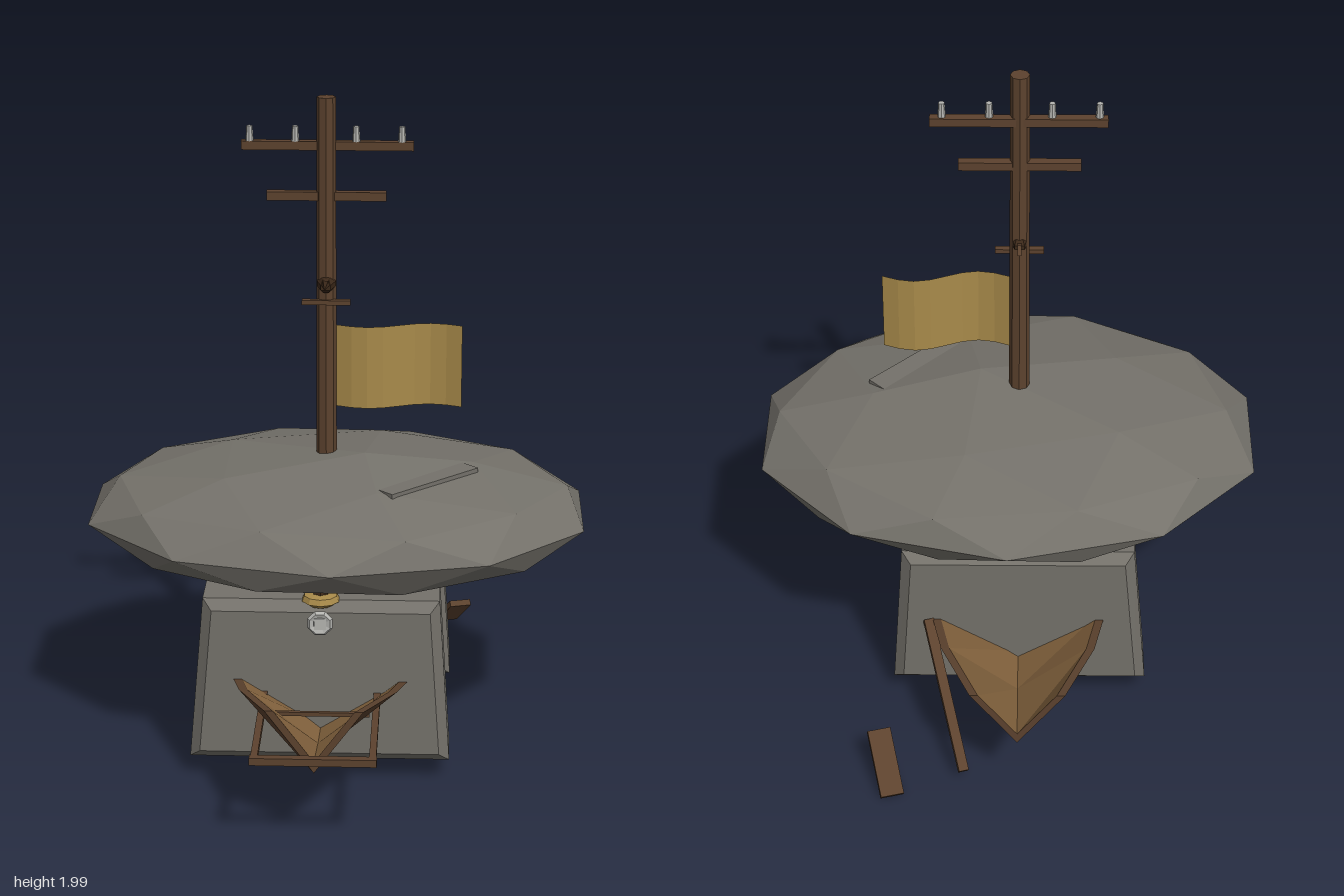
import * as THREE from 'three';

const mat = (name, color, flat = true, side = THREE.FrontSide) =>
  Object.assign(new THREE.MeshStandardMaterial({ color, flatShading: flat, side }), { name });

export function createModel() {
  const root = new THREE.Group();
  root.name = 'stoneShrine';
  const M = {
    stone: mat('stone', 0x74716a),
    wood: mat('wood', 0x5c422e),
    dark: mat('darkWood', 0x3b2819, true, THREE.DoubleSide),
    plank: mat('planking', 0x86653f, true, THREE.DoubleSide),
    gold: mat('ochre', 0xa88a4a, true, THREE.DoubleSide),
    clay: mat('clay', 0x6a4a33, false, THREE.DoubleSide),
    pale: mat('porcelain', 0xb4b4b0),
  };
  const CX = -0.033;

  const add = (name, geo, m, x = 0, y = 0, z = 0, parent = root) => {
    const mesh = new THREE.Mesh(geo, m);
    mesh.name = name;
    mesh.position.set(x, y, z);
    parent.add(mesh);
    return mesh;
  };
  const box = (name, m, w, h, d, x, y, z, parent) =>
    add(name, new THREE.BoxGeometry(w, h, d), m, x, y, z, parent);
  // Bar running from a to b
  const bar = (name, m, w, h, a, b) => {
    const p = new THREE.Vector3(...a), q = new THREE.Vector3(...b);
    const mesh = box(name, m, w, h, p.distanceTo(q), 0, 0, 0);
    mesh.position.copy(p).add(q).multiplyScalar(0.5);
    mesh.lookAt(q);
    return mesh;
  };
  const lathe = (pts, seg) => new THREE.LatheGeometry(pts.map(p => new THREE.Vector2(...p)), seg);
  const surface = (points, index) => {
    const g = new THREE.BufferGeometry();
    g.setAttribute('position', new THREE.Float32BufferAttribute(points.flat(), 3));
    g.setIndex(index);
    g.computeVertexNormals();
    return g;
  };

  // Faceted capstone with its crown pushed off centre
  const cap = new THREE.IcosahedronGeometry(1, 1);
  cap.rotateX(-Math.atan((1 + Math.sqrt(5)) / 2));
  // Turn so that one vertex of the upper ring lies on +x
  const pos = cap.attributes.position;
  let upperOnFront = false;
  for (let i = 0; i < pos.count; i++)
    if (Math.abs(pos.getX(i)) < 0.01 && pos.getZ(i) > 0.88 && pos.getY(i) > 0.4) upperOnFront = true;
  cap.rotateY(upperOnFront ? Math.PI / 2 : -Math.PI / 2);
  cap.scale(0.785, 0.18, 0.6);
  for (let i = 0; i < pos.count; i++)
    if (pos.getY(i) > 0.178) pos.setXYZ(i, 0.085, 0.2, 0.065);
  cap.computeVertexNormals();
  add('capstone', cap, M.stone, 0, 0.72, -0.025);
  const slab = box('capstoneSlab', M.stone, 0.36, 0.04, 0.3, 0.195, 0.856, 0.06);
  slab.rotation.y = Math.PI / 4;

  // Tapered, chamfered end blocks with a passage between them
  const b = 0.03;
  const outline = new THREE.Shape([[-0.395, 0.1], [0.32, 0.1], [0.29, 0.55], [-0.355, 0.55]]
    .map(p => new THREE.Vector2(...p)));
  for (const [name, z] of [['frontBlock', 0.21], ['backBlock', -0.45]])
    add(name, new THREE.ExtrudeGeometry(outline, {
      depth: 0.15, bevelEnabled: true, bevelThickness: b, bevelSize: b, bevelSegments: 1,
    }), M.stone, 0, 0, z + b);
  box('floorSlab', M.stone, 0.73, 0.06, 0.5, CX, 0.1, -0.02);

  // Scattered stains under the floor
  for (let i = 0; i < 16; i++) {
    const a = i * 2.4, r = 0.055 * Math.sqrt(i);
    const d = add('underStain', new THREE.CylinderGeometry(0.03 + 0.008 * (i % 3), 0.03, 0.01, 5 + i % 3),
      M.dark, CX + r * Math.cos(a), 0.066, -0.02 + r * Math.sin(a));
    d.rotation.y = a;
  }

  // Inner hut
  add('hut', lathe([[0.215, 0.12], [0.22, 0.43], [0.23, 0.44], [0.23, 0.46], [0.19, 0.47], [0.12, 0.6]], 12),
    M.gold, CX, 0, -0.015);
  for (const z of [-0.03, -0.23]) box('hutPost', M.wood, 0.03, 0.09, 0.03, 0.15, 0.54, z);

  // Arches and pots at both openings
  const arch = new THREE.Shape();
  arch.absarc(0, 0, 0.19, 0, Math.PI, false);
  arch.lineTo(-0.19, -0.12);
  arch.lineTo(-0.15, -0.12);
  arch.lineTo(-0.15, 0);
  arch.absarc(0, 0, 0.15, Math.PI, 0, true);
  arch.lineTo(0.15, -0.12);
  arch.lineTo(0.19, -0.12);
  const archGeo = new THREE.ExtrudeGeometry(arch, { depth: 0.1, bevelEnabled: false, curveSegments: 8 });
  archGeo.rotateY(Math.PI / 2);
  const potGeo = lathe([[0, 0], [0.075, 0], [0.105, 0.05], [0.115, 0.1], [0.1, 0.16], [0.075, 0.195],
    [0.085, 0.22], [0.07, 0.225], [0.06, 0.19], [0, 0.17]], 20);
  for (const [ax, px, z] of [[0.12, 0.2, -0.115], [-0.3, -0.25, -0.06]]) {
    add('doorArch', archGeo, M.plank, ax, 0.25, z + 0.025);
    add('pot', potGeo, M.clay, px, 0.13, z);
  }

  // Split hull: one open half on the front, the other turned half way round
  const sections = [[0.4, 0.265, 0.325, 0.14], [0.6, 0.23, 0.37, 0.17], [0.85, 0.14, 0.415, 0.225]];
  const loops = sections.map(([z, w, top, keel]) => [[-w, top, z], [0, keel, z], [w, top, z],
    [w - 0.025, top, z], [0, keel + 0.035, z], [0.025 - w, top, z]]);
  const strip = edges => edges.flatMap(j => [0, 6].flatMap(o => {
    const k = (j + 1) % 6;
    return [o + j, o + k, o + k + 6, o + j, o + k + 6, o + j + 6];
  }));
  const shell = surface(loops.flat(), [...strip([0, 1, 2, 5]),
    12, 13, 16, 12, 16, 17, 13, 14, 15, 13, 15, 16]);
  const lining = surface(loops.flat(), strip([3, 4]));
  // Thin quad lying on one side of the hull
  const patch = (j, k, lift) => surface([[0.4, 0.35], [0.7, 0.35], [0.7, 0.65], [0.4, 0.65]].map(([s, t]) =>
    [0, 1, 2].map(c => {
      const at = i => loops[i][j][c] * (1 - t) + loops[i][k][c] * t;
      return at(1) * (1 - s) + at(2) * s + [-lift, -lift, 0][c];
    })), [0, 1, 2, 0, 2, 3]);
  for (const [name, turn] of [['frontHull', 0], ['backHull', Math.PI]]) {
    const hull = new THREE.Group();
    hull.name = name;
    hull.position.set(CX, 0, -0.02);
    hull.rotation.y = turn;
    root.add(hull);
    add('hullShell', shell, M.wood, 0, 0, 0, hull);
    add('hullLining', lining, M.plank, 0, 0, 0, hull);
    add('hullPatchOuter', patch(0, 1, 0.004), M.plank, 0, 0, 0, hull);
    add('hullPatchInner', patch(5, 4, -0.004), M.dark, 0, 0, 0, hull);
  }

  // Shafts with a crossbar at the front
  for (const x of [-0.2, 0.135]) box('shaft', M.wood, 0.02, 0.02, 0.47, x, 0.287, 0.655);
  box('shaftCrossbar', M.wood, 0.36, 0.022, 0.025, CX, 0.287, 0.883);
  box('shaftTie', M.wood, 0.3, 0.012, 0.012, CX, 0.3, 0.585);

  // Leaning pole and loose board at the back
  bar('leaningPole', M.wood, 0.03, 0.02, [0.24, 0.33, -0.45], [0.128, 0.045, -0.81]);
  bar('looseBoard', M.wood, 0.07, 0.02, [0.385, 0.132, -0.725], [0.34, 0.015, -0.885]);

  // Mast with cross-arms and insulators
  add('mast', new THREE.CylinderGeometry(0.028, 0.031, 1.15, 8), M.wood, CX, 1.425, -0.015);
  box('upperArm', M.wood, 0.51, 0.026, 0.028, -0.03, 1.853, -0.025);
  box('lowerArm', M.wood, 0.355, 0.026, 0.028, CX, 1.702, -0.02);
  for (const x of [-0.26, -0.125, 0.055, 0.19])
    add('insulator', new THREE.CylinderGeometry(0.009, 0.012, 0.046, 8), M.pale, x, 1.888, -0.022);
  box('perch', M.wood, 0.145, 0.014, 0.02, CX, 1.383, 0.01);

  // Carved bird
  const body = add('birdBody', new THREE.SphereGeometry(1, 6, 5), M.dark, CX, 1.437, -0.005);
  body.scale.set(0.03, 0.025, 0.065);
  const beak = add('birdBeak', new THREE.ConeGeometry(0.013, 0.075, 5), M.dark, CX, 1.448, 0.083);
  beak.rotation.x = Math.PI / 2;
  bar('birdTail', M.wood, 0.012, 0.03, [CX, 1.43, -0.05], [CX, 1.483, -0.14]);

  // Rippled flag
  const flag = new THREE.PlaneGeometry(0.38, 0.255, 8, 1);
  const fp = flag.attributes.position;
  for (let i = 0; i < fp.count; i++)
    fp.setZ(i, 0.027 * Math.sin((fp.getX(i) + 0.19) / 0.38 * Math.PI * 2));
  add('flag', flag, M.gold, 0.185, 1.178, -0.017);

  // Hanging lamp over the front block
  add('lampCap', lathe([[0, 0.565], [0.035, 0.565], [0.057, 0.58], [0.05, 0.597], [0, 0.605]], 10),
    M.gold, CX, 0, 0.39);
  add('lampFinial', new THREE.CylinderGeometry(0.015, 0.025, 0.04, 6), M.dark, CX, 0.62, 0.39);
  const lamp = add('lampRing', new THREE.TorusGeometry(0.029, 0.011, 5, 8), M.pale, CX, 0.525, 0.44);
  lamp.rotation.z = Math.PI / 8;
  box('lampCore', M.pale, 0.035, 0.035, 0.04, CX, 0.525, 0.43);

  return root;
}
